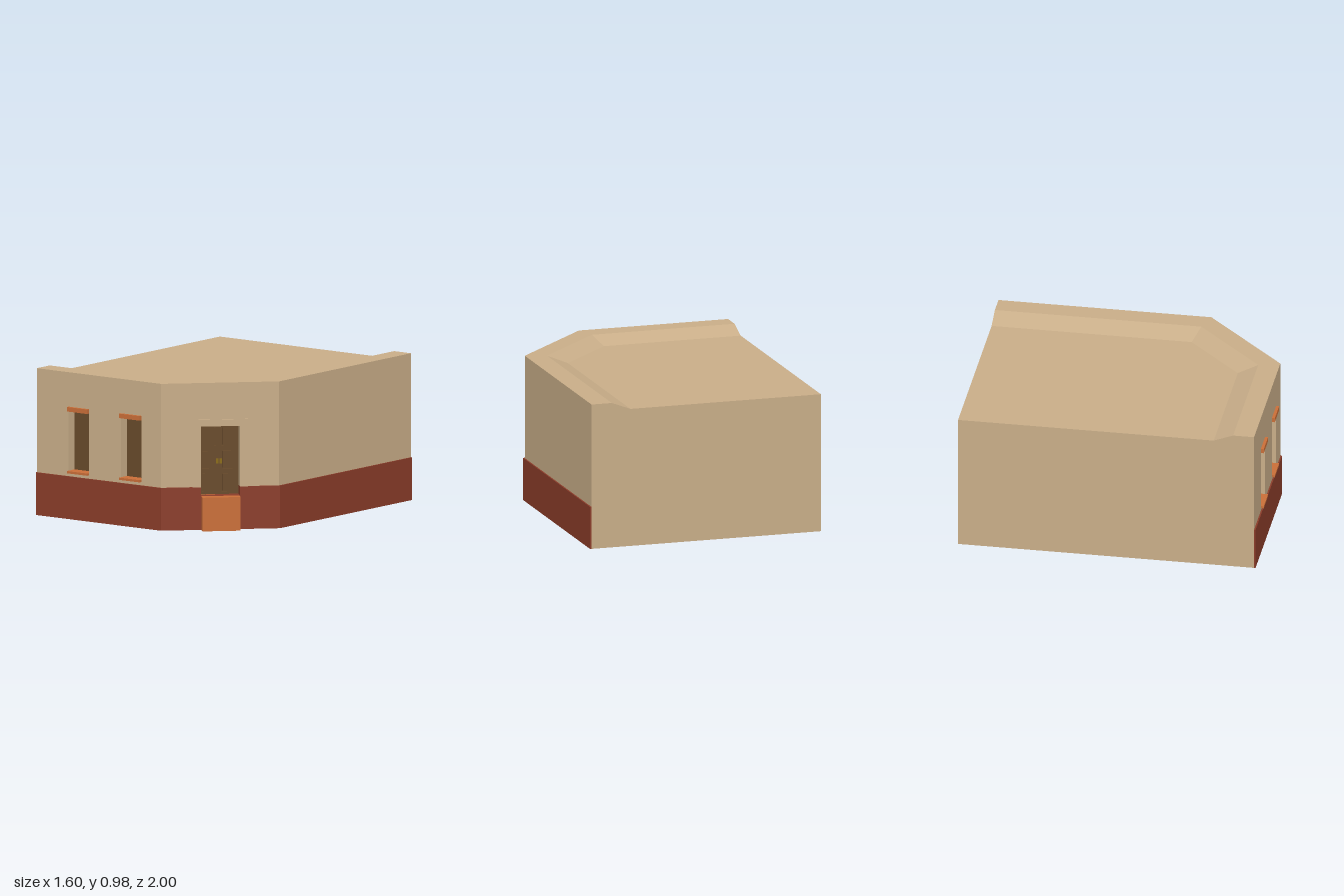
import * as THREE from 'three';

const mat = (color) => new THREE.MeshStandardMaterial({ color, flatShading: true });
const plaster = mat(0xc8ad88), red = mat(0x8a3c29), orange = mat(0xc96e38);
const wood = mat(0x684a2a), brass = mat(0x8a6c14);

const TOP = 0.98, ROOF = 0.93, BASE = 0.285, STEP = 0.225, OUT = 0.01;
const DEPTH = 0.065; // recess of windows and door

// Street-side outline (front, cut corner, right), moved inward by d
function outline(d) {
  const z = 0.98 - d, x = 0.79 - d, sum = 1.215 - d * 1.32;
  return [[-0.8, z], [sum - z, z], [x, sum - x], [x, -1]];
}

const shape = (pts) => new THREE.Shape(pts.map(([x, y]) => new THREE.Vector2(x, y)));
const rect = (x0, x1, y0, y1) => [[x0, y0], [x1, y0], [x1, y1], [x0, y1]];

function add(parent, name, geometry, material) {
  const mesh = new THREE.Mesh(geometry, material);
  mesh.name = name;
  parent.add(mesh);
  return mesh;
}

// Box given by its limits
function box(parent, name, material, x0, x1, y0, y1, z0, z1) {
  const m = add(parent, name, new THREE.BoxGeometry(x1 - x0, y1 - y0, z1 - z0), material);
  m.position.set((x0 + x1) / 2, (y0 + y1) / 2, (z0 + z1) / 2);
  return m;
}

// Plate whose front lies at z, with holes, reaching back by depth
function plate(parent, name, material, pts, z, depth, holes = []) {
  const s = shape(pts);
  s.holes = holes.map((h) => new THREE.Path(shape(h).getPoints()));
  const m = add(parent, name, new THREE.ExtrudeGeometry(s, { depth, bevelEnabled: false }), material);
  m.position.z = z - depth;
  return m;
}

// Group whose local x runs along the wall a-b and whose z points outward
function wallGroup(root, name, a, b) {
  const g = new THREE.Group();
  g.name = name;
  g.position.set(a[0], 0, a[1]);
  g.rotation.y = Math.atan2(a[1] - b[1], b[0] - a[0]);
  root.add(g);
  return { g, len: Math.hypot(b[0] - a[0], b[1] - a[1]) };
}

// Sloped or flat band between two outlines
function band(root, name, outer, y0, inner, y1) {
  const pos = [];
  for (let i = 0; i < outer.length - 1; i++) {
    const [a, b, c, d] = [
      [outer[i][0], y0, outer[i][1]], [outer[i + 1][0], y0, outer[i + 1][1]],
      [inner[i + 1][0], y1, inner[i + 1][1]], [inner[i][0], y1, inner[i][1]]];
    pos.push(...a, ...b, ...c, ...a, ...c, ...d);
  }
  const geo = new THREE.BufferGeometry();
  geo.setAttribute('position', new THREE.Float32BufferAttribute(pos, 3));
  geo.computeVertexNormals();
  add(root, name, geo, plaster);
}

export function createModel() {
  const root = new THREE.Group();
  root.name = 'cornerHouse';
  const P = outline(0), mid = outline(0.14), inn = outline(0.27);

  // Roof with parapet
  band(root, 'parapetTop', P, TOP, mid, TOP);
  band(root, 'parapetSlope', mid, TOP, inn, ROOF);
  const roof = add(root, 'flatRoof', new THREE.ShapeGeometry(
    shape([...inn, [-0.8, -1]].map(([x, z]) => [x, -z]))), plaster);
  roof.rotation.x = -Math.PI / 2;
  roof.position.y = ROOF;
  const floor = add(root, 'underside', new THREE.ShapeGeometry(shape([...P, [-0.8, -1]])), plaster);
  floor.rotation.x = Math.PI / 2;

  // Plain left and back walls follow the parapet profile
  const left = add(root, 'leftWall', new THREE.ShapeGeometry(shape([
    [-1, 0], [0.98, 0], [0.98, TOP], [0.84, TOP], [0.71, ROOF], [-1, ROOF]])), plaster);
  left.rotation.y = -Math.PI / 2;
  left.position.x = -0.8;
  const back = add(root, 'backWall', new THREE.ShapeGeometry(shape([
    [-0.79, 0], [0.8, 0], [0.8, ROOF], [-0.52, ROOF], [-0.65, TOP], [-0.79, TOP]])), plaster);
  back.rotation.y = Math.PI;
  back.position.z = -1;

  // Front wall with two windows
  const front = wallGroup(root, 'frontWall', P[0], P[1]);
  const windows = [[0.265, 0.435], [0.7, 0.87]];
  plate(front.g, 'frontPlaster', plaster, rect(0, front.len, 0, TOP), 0, DEPTH,
    windows.map(([a, b]) => rect(a, b, 0.307, 0.75)));
  for (const [a, b] of windows) {
    box(front.g, 'windowPane', wood, a - 0.005, b + 0.005, 0.3, 0.755, -DEPTH - 0.01, -DEPTH);
    box(front.g, 'windowLintel', orange, a, b, 0.72, 0.75, -DEPTH, 0.02);
    box(front.g, 'windowSill', orange, a, b, 0.307, 0.322, -DEPTH, 0.02);
  }
  box(front.g, 'frontBase', red, 0, front.len + 0.004, 0, BASE, 0, OUT);

  // Right wall
  const right = wallGroup(root, 'rightWall', P[2], P[3]);
  add(right.g, 'rightPlaster', new THREE.ShapeGeometry(shape(rect(0, right.len, 0, TOP))), plaster);
  box(right.g, 'rightBase', red, -0.004, right.len, 0, BASE, 0, OUT);

  // Cut corner with the doorway
  const corner = wallGroup(root, 'cornerWall', P[1], P[2]);
  const c = corner.g, L = corner.len, m = L / 2, w = 0.13, doorTop = 0.69;
  const l = m - w, r = m + w;
  plate(c, 'cornerPlaster', plaster, [[0, BASE], [l, BASE], [l, doorTop], [r, doorTop],
    [r, BASE], [L, BASE], [L, TOP], [0, TOP]], 0, DEPTH);
  plate(c, 'cornerBase', red, [[-0.004, 0], [L + 0.004, 0], [L + 0.004, BASE], [r, BASE],
    [r, STEP], [l, STEP], [l, BASE], [-0.004, BASE]], OUT, DEPTH + OUT);
  const f = 0.184, frameTop = 0.735;
  plate(c, 'doorSurround', plaster, [[m - f, BASE], [l, BASE], [l, doorTop], [r, doorTop],
    [r, BASE], [m + f, BASE], [m + f, frameTop], [m - f, frameTop]], OUT, OUT);
  box(c, 'doorStep', orange, m - 0.127, m + 0.127, 0, STEP, -DEPTH, 0.074);

  // Double door with three sunk panels per leaf
  box(c, 'doorPanels', wood, l, r, STEP, doorTop, -DEPTH - 0.02, -DEPTH - 0.008);
  for (const side of [-1, 1]) {
    const x0 = side < 0 ? l : m + 0.002, x1 = x0 + w - 0.002;
    const holes = [[0.242, 0.367], [0.395, 0.517], [0.55, 0.672]]
      .map(([a, b]) => rect(x0 + 0.016, x1 - 0.016, a, b));
    plate(c, 'doorLeaf', wood, rect(x0, x1, STEP, doorTop), -DEPTH, 0.008, holes);
    for (const [a, b] of [[0.242, 0.367], [0.395, 0.517], [0.55, 0.672]])
      box(c, 'doorPanel', wood, x0 + 0.021, x1 - 0.021, a + 0.005, b - 0.005, -DEPTH - 0.01, -DEPTH - 0.001);
    const k = m + side * 0.012;
    box(c, 'doorKnob', brass, k - 0.008, k + 0.008, 0.43, 0.462, -DEPTH, -DEPTH + 0.012);
  }
  return root;
}
